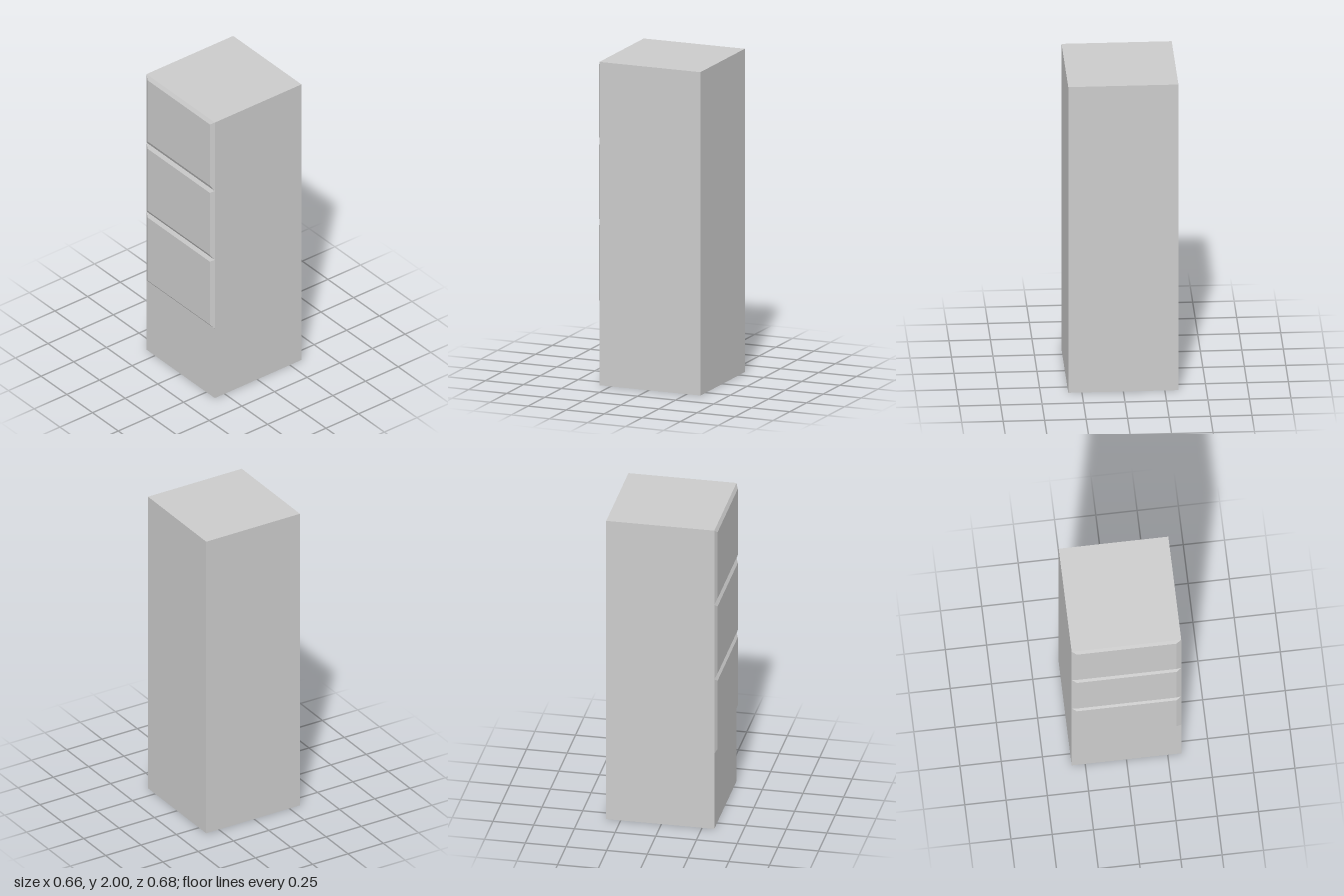
import * as THREE from 'three';

const WIDTH = 0.664, BACK = -0.339, FACE = 0.325, FRONT = 0.339;

// Drawer front: a thin box whose front corners are drawn in to form bevels
function drawerFront(y0, y1, bevelBottom, bevelTop, material) {
  const bevelSide = 0.03;
  const geo = new THREE.BoxGeometry(WIDTH, y1 - y0, FRONT - FACE);
  geo.translate(0, (y0 + y1) / 2, (FACE + FRONT) / 2);
  const pos = geo.attributes.position;
  const middle = (y0 + y1) / 2, depth = (FACE + FRONT) / 2;
  for (let i = 0; i < pos.count; i++) {
    if (pos.getZ(i) < depth) continue;
    pos.setX(i, pos.getX(i) - Math.sign(pos.getX(i)) * bevelSide);
    pos.setY(i, pos.getY(i) > middle ? y1 - bevelTop : y0 + bevelBottom);
  }
  geo.computeVertexNormals();
  return new THREE.Mesh(geo, material);
}

export function createModel() {
  const group = new THREE.Group();
  group.name = 'drawerCabinet';
  const material = new THREE.MeshStandardMaterial({ color: 0xcccccc, flatShading: true });

  // Cabinet body
  const body = new THREE.Mesh(new THREE.BoxGeometry(WIDTH, 2, FACE - BACK), material);
  body.position.set(0, 1, (FACE + BACK) / 2);
  body.name = 'cabinetBody';
  group.add(body);

  // Three bevelled drawers above the plain base: bottom, top, lower bevel, upper bevel
  const drawers = [
    ['lowerDrawer', 0.504, 1.003, 0.019, 0.023],
    ['middleDrawer', 1.003, 1.503, 0.026, 0.024],
    ['upperDrawer', 1.503, 2, 0.029, 0.024],
  ];
  for (const [name, y0, y1, bottom, top] of drawers) {
    const drawer = drawerFront(y0, y1, bottom, top, material);
    drawer.name = name;
    group.add(drawer);
  }
  return group;
}
